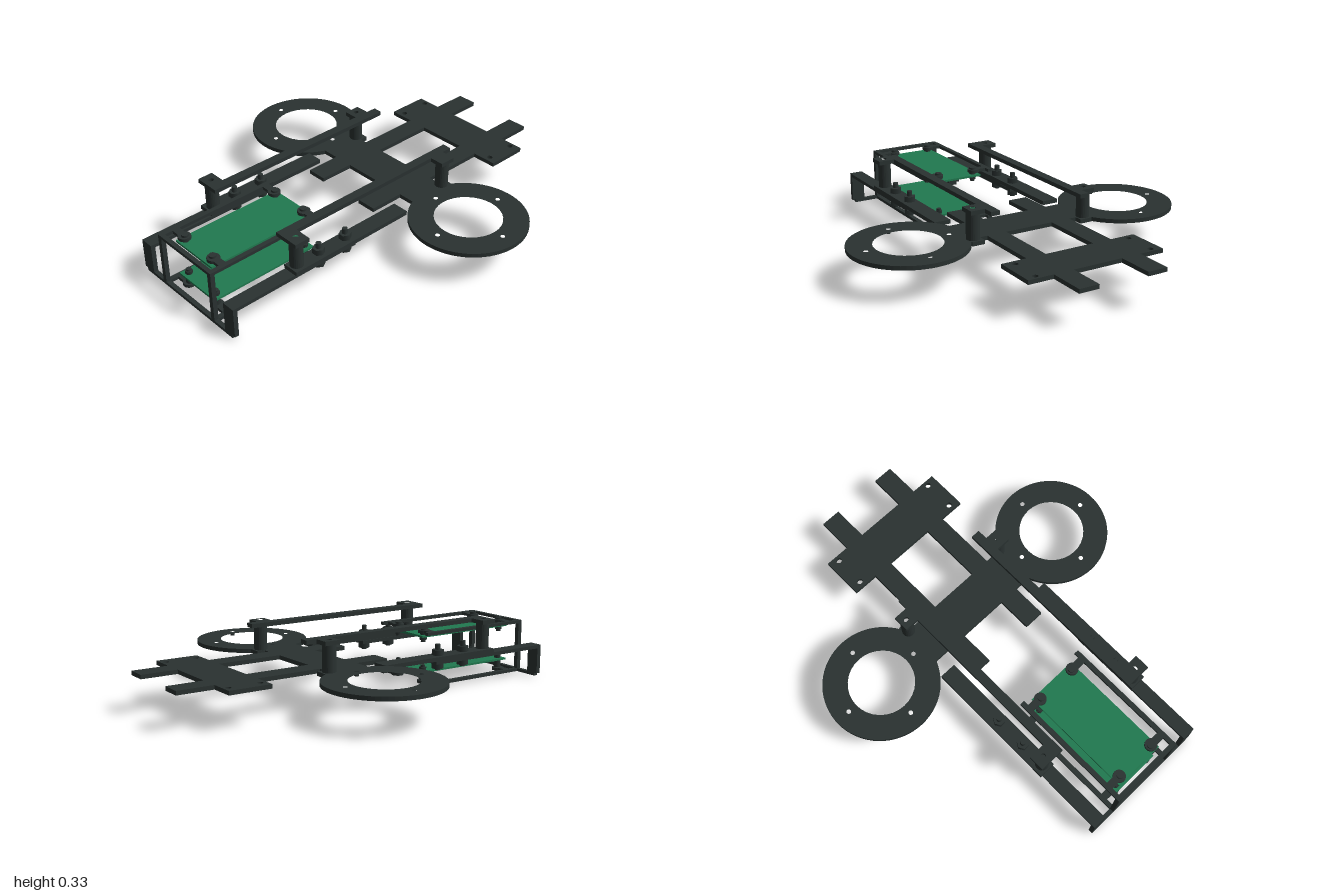
import * as THREE from 'three';

export function createModel() {
  const model = new THREE.Group();
  const dark = new THREE.MeshStandardMaterial({ color: 0x2a3231 });
  dark.name = 'charcoal';
  const green = new THREE.MeshStandardMaterial({ color: 0x217a50 });
  green.name = 'board green';

  function add(name, geometry, material = dark) {
    const mesh = new THREE.Mesh(geometry, material);
    mesh.name = name;
    model.add(mesh);
    return mesh;
  }
  // Box given by its limits on each axis
  function box(name, x0, x1, y0, y1, z0, z1, material) {
    const g = new THREE.BoxGeometry(x1 - x0, y1 - y0, Math.abs(z1 - z0));
    g.translate((x0 + x1) / 2, (y0 + y1) / 2, (z0 + z1) / 2);
    return add(name, g, material);
  }
  // Flat plate from an [x, z] outline, with round holes [x, z, radius]
  function plate(name, outline, holes, y0, y1, material) {
    const shape = new THREE.Shape(outline.map(([x, z]) => new THREE.Vector2(x, -z)));
    for (const [x, z, r] of holes) {
      shape.holes.push(new THREE.Path().absarc(x, -z, r, 0, Math.PI * 2, true));
    }
    const g = new THREE.ExtrudeGeometry(shape, { depth: y1 - y0, bevelEnabled: false, curveSegments: 16 });
    g.rotateX(-Math.PI / 2).translate(0, y0, 0);
    return add(name, g, material);
  }
  function cylinder(name, x, z, r, y0, y1, sides = 20) {
    const g = new THREE.CylinderGeometry(r, r, y1 - y0, sides);
    return add(name, g.translate(x, (y0 + y1) / 2, z));
  }
  function circle(x, z, r, n) {
    return Array.from({ length: n }, (_, i) => {
      const a = (i / n) * Math.PI * 2;
      return [x + r * Math.cos(a), z + r * Math.sin(a)];
    });
  }

  // Main deck: two long arms joined by two cross members
  const arm = [[-0.095, 0.125], [-0.095, 0.225], [0.08, 0.225], [0.08, 0.325], [0.325, 0.325],
    [0.325, 0.262], [0.285, 0.262], [0.285, 0.225], [0.61, 0.225], [0.61, 0.35],
    [0.82, 0.35], [0.82, 0.225], [1, 0.225], [1, 0.125], [0.82, 0.125]];
  const half = [[0.08, 0.125], ...arm.slice(0, -1), [0.82, 0.125]];
  const outline = [...half, ...half.map(([x, z]) => [x, -z]).reverse()];
  const deckHoles = [];
  for (const s of [1, -1]) {
    for (const x of [0.64, 0.795]) deckHoles.push([x, s * 0.3, 0.014]);
    deckHoles.push([0.285, s * 0.3, 0.013]);
  }
  const window = new THREE.Shape(outline.map(([x, z]) => new THREE.Vector2(x, -z)));
  window.holes.push(new THREE.Path([[0.285, -0.125], [0.285, 0.125], [0.61, 0.125], [0.61, -0.125]]
    .map(([x, z]) => new THREE.Vector2(x, z))));
  for (const [x, z, r] of deckHoles) {
    window.holes.push(new THREE.Path().absarc(x, -z, r, 0, Math.PI * 2, true));
  }
  const deck = new THREE.ExtrudeGeometry(window, { depth: 0.02, bevelEnabled: false });
  add('mainDeck', deck.rotateX(-Math.PI / 2).translate(0, 0.165, 0));

  for (const s of [1, -1]) {
    const side = s > 0 ? 'left' : 'right';

    // Motor ring with its four mounting holes
    const cz = s * 0.57;
    plate(side + 'MotorRing', circle(0.18, cz, 0.28, 64),
      [[0.18, cz, 0.16], ...circle(0.18, cz, 0.206, 4).map(([x, z]) => [x, z, 0.011])], 0.165, 0.185);

    // Lower side rails, overlapping and bolted together
    box(side + 'MidRail', -0.665, 0.005, 0.165, 0.185, s * 0.262, s * 0.345);
    box(side + 'RearRail', -1, -0.31, 0.146, 0.163, s * 0.265, s * 0.333);
    box(side + 'RearRailEnd', -1, -0.978, 0.015, 0.146, s * 0.265, s * 0.333);
    for (const x of [-0.5, -0.343]) {
      cylinder(side + 'BoltShaft', x, s * 0.3, 0.013, 0.112, 0.238, 12);
      cylinder(side + 'BoltNut', x, s * 0.3, 0.029, 0.185, 0.212, 6);
      cylinder(side + 'BoltHead', x, s * 0.3, 0.029, 0.12, 0.146, 6);
    }

    // Raised bar with an outward tab over each spacer
    plate(side + 'TopBar', [[-0.665, 0.217], [0.38, 0.217], [0.38, 0.262], [0.327, 0.262],
      [0.327, 0.333], [0.247, 0.333], [0.247, 0.262], [-0.588, 0.262], [-0.588, 0.345],
      [-0.665, 0.345]].map(([x, z]) => [x, s * z]),
    [[0.285, s * 0.3, 0.013], [-0.626, s * 0.3, 0.013]], 0.312, 0.332);
    for (const x of [-0.626, 0.285]) {
      plate(side + 'Spacer', circle(x, s * 0.3, 0.032, 24), [[x, s * 0.3, 0.013]], 0.185, 0.312);
    }

    // Cage side members
    box(side + 'CagePost', -1, -0.978, 0, 0.27, s * 0.167, s * 0.19);
    for (const [name, y] of [['Lower', 0], ['Upper', 0.255]]) {
      box(side + name + 'CageRail', -1, -0.37, y, y + 0.015, s * 0.167, s * 0.19);
      // Round-ended lugs carrying the board
      for (const x of [-0.92, -0.415]) {
        box(side + name + 'Lug', x - 0.018, x + 0.018, y, y + 0.015, s * 0.105, s * 0.17);
        cylinder(side + name + 'LugEnd', x, s * 0.105, 0.03, y, y + 0.015);
      }
    }

    // Board standoffs and nuts
    for (const x of [-0.92, -0.415]) {
      cylinder('lowerStandoff', x, s * 0.1, 0.017, 0.015, 0.055, 12);
      cylinder('lowerNut', x, s * 0.1, 0.018, 0.065, 0.08, 6);
      cylinder('lowerScrewTip', x, s * 0.1, 0.012, 0.08, 0.09, 12);
      cylinder('upperStandoff', x, s * 0.1, 0.017, 0.245, 0.255, 12);
      cylinder('upperNut', x, s * 0.1, 0.018, 0.218, 0.235, 6);
      cylinder('upperScrewTip', x, s * 0.1, 0.012, 0.208, 0.218, 12);
      cylinder('upperScrewHead', x, s * 0.1, 0.017, 0.27, 0.28, 12);
    }
  }

  // Cage end bars
  box('cageLowerEndBar', -1, -0.978, 0, 0.015, -0.315, 0.315);
  box('cageUpperEndBar', -1, -0.978, 0.255, 0.27, -0.19, 0.19);

  // Circuit boards
  box('lowerBoard', -0.95, -0.385, 0.055, 0.065, -0.13, 0.13, green);
  box('upperBoard', -0.95, -0.385, 0.235, 0.245, -0.13, 0.13, green);

  return model;
}
